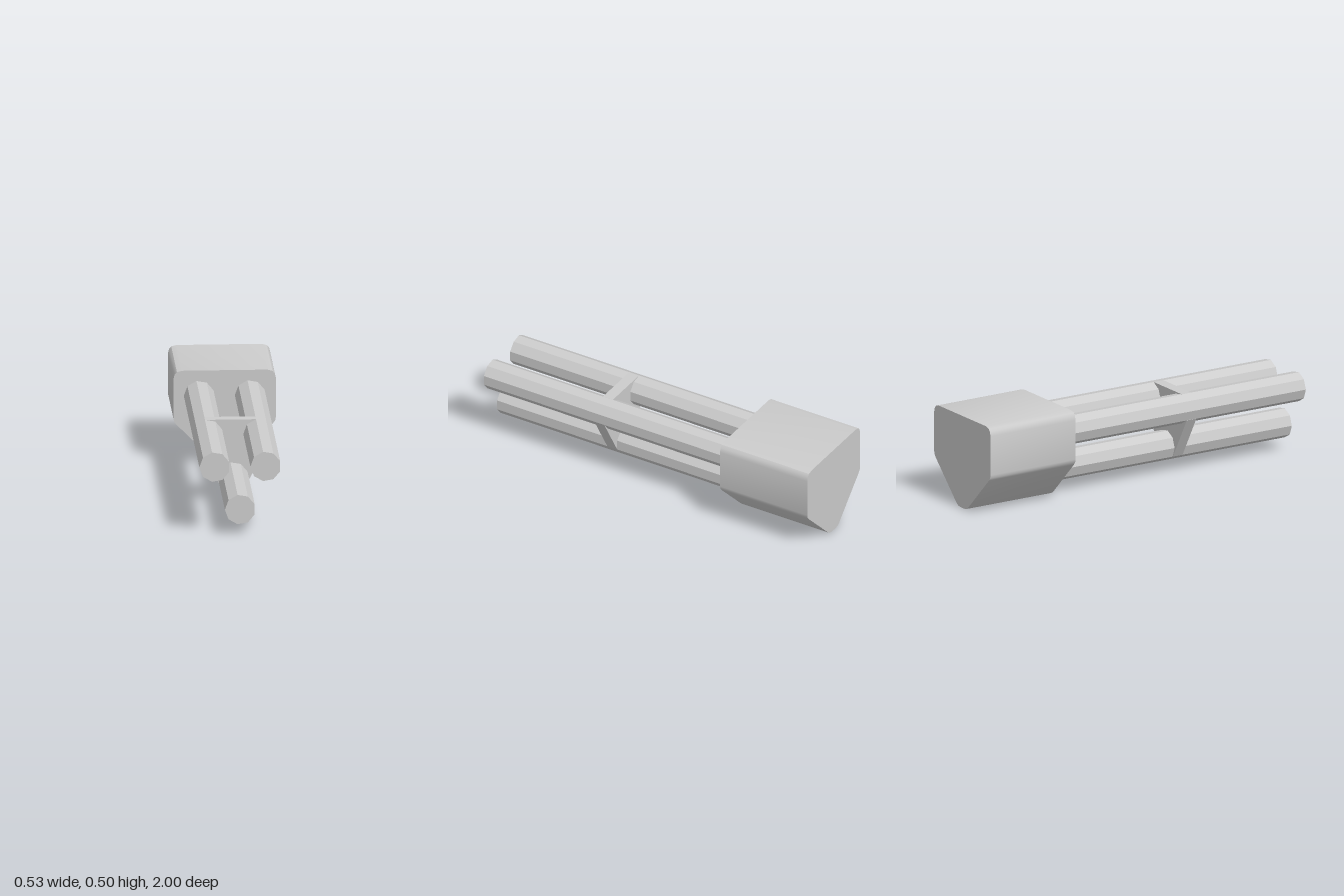
import * as THREE from 'three';
import { toCreasedNormals } from 'three/addons/utils/BufferGeometryUtils.js';

const SIDES = 9, RADIUS = 0.08;
const CENTRES = { rightBarrel: [-0.133, 0.365], leftBarrel: [0.133, 0.365], lowerBarrel: [0, 0.135] };

// Straight prism of an outline from z0 to z1
function prism(name, points, z0, z1, material, crease = 0.1) {
  const shape = new THREE.Shape(points.map(([x, y]) => new THREE.Vector2(x, y)));
  const geometry = new THREE.ExtrudeGeometry(shape, { depth: z1 - z0, bevelEnabled: false });
  geometry.translate(0, 0, z0);
  const mesh = new THREE.Mesh(toCreasedNormals(geometry, crease), material);
  mesh.name = name;
  return mesh;
}

export function createModel() {
  const group = new THREE.Group();
  group.name = 'tripleBarrel';
  const material = new THREE.MeshStandardMaterial({ color: 0xcccccc, flatShading: false });

  // Housing: flat top, tapered underside, softened corners (mirrored half outline)
  const half = [
    [0.022, 0], [0.04, 0.004], [0.055, 0.014], [0.252, 0.211], [0.263, 0.226], [0.267, 0.243],
    [0.267, 0.455], [0.261, 0.479], [0.249, 0.493], [0.222, 0.5],
  ];
  const outline = [...half, ...half.map(([x, y]) => [-x, y]).reverse()];
  group.add(prism('housing', outline, -1, -0.47, material, 0.6));

  // Three nine-sided barrels, seated slightly into the housing
  for (const [name, [cx, cy]] of Object.entries(CENTRES)) {
    const ring = Array.from({ length: SIDES }, (_, i) => {
      const a = Math.PI + (i / SIDES) * Math.PI * 2;
      return [cx + RADIUS * Math.cos(a), cy + RADIUS * Math.sin(a)];
    });
    group.add(prism(name, ring, -0.5, 1, material));
  }

  // Brace plate tying the barrels together
  const plate = [
    [-0.064, 0.085], [0.075, 0.107], [0.207, 0.338], [0.119, 0.444], [-0.147, 0.444], [-0.195, 0.314],
  ];
  group.add(prism('brace', plate, 0.27, 0.33, material));

  return group;
}
